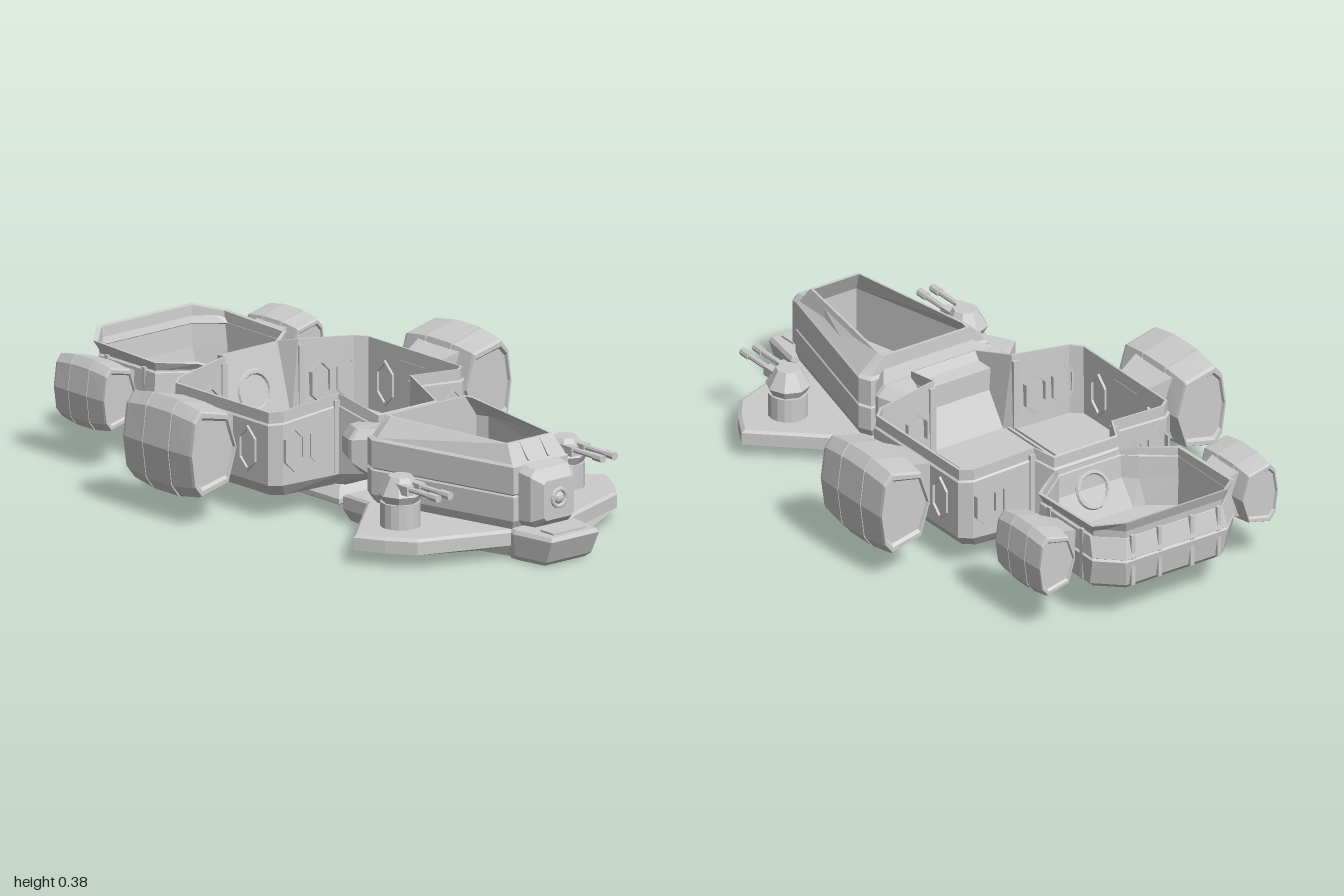
import * as THREE from 'three';

const mat = new THREE.MeshStandardMaterial({ color: 0xcccccc, flatShading: true, side: THREE.DoubleSide });

// Closed loft through equal-length 2D outlines; ring = [level, outline], level may be a function of (a, b)
function loft(rings, axis = 'y') {
  const map = { x: (a, b, h) => [h, b, a], y: (a, b, h) => [a, h, b], z: (a, b, h) => [a, b, h] }[axis];
  const n = rings[0][1].length, pos = [], idx = [];
  for (const [h, pts] of rings)
    for (const [a, b] of pts) pos.push(...map(a, b, typeof h === 'function' ? h(a, b) : h));
  for (let r = 0; r < rings.length - 1; r++)
    for (let i = 0; i < n; i++) {
      const a = r * n + i, b = r * n + (i + 1) % n;
      idx.push(a, b, b + n, a, b + n, a + n);
    }
  // caps, wound to agree with the side walls
  const cap = (r, last) => {
    const v = rings[r][1].map(p => new THREE.Vector2(...p));
    const ccw = THREE.ShapeUtils.area(v) > 0;
    for (const t of THREE.ShapeUtils.triangulateShape(v, [])) {
      const w = THREE.ShapeUtils.area(t.map(i => v[i])) > 0 === ccw ? t : [t[0], t[2], t[1]];
      const o = last ? w : [w[0], w[2], w[1]];
      idx.push(...o.map(i => i + r * n));
    }
  };
  cap(0, false);
  cap(rings.length - 1, true);
  // turn everything outward if the enclosed volume is negative
  let vol = 0;
  const P = i => new THREE.Vector3().fromArray(pos, i * 3);
  for (let i = 0; i < idx.length; i += 3) vol += P(idx[i]).dot(P(idx[i + 1]).cross(P(idx[i + 2])));
  if (vol < 0) idx.reverse();
  const g = new THREE.BufferGeometry();
  g.setAttribute('position', new THREE.Float32BufferAttribute(pos, 3));
  g.setIndex(idx);
  const flat = g.toNonIndexed();
  flat.computeVertexNormals();
  return flat;
}

const mirror = half => [...half, ...half.map(([x, z]) => [-x, z]).reverse()];
// Octagonal tunnel section
const tunnel = (w, y0, y1, c) => mirror([[w - c, y1], [w, y1 - c], [w, y0 + c], [w - c, y0]]);
// Move an outline inward by d on each axis
function inset(pts, d) {
  const zs = pts.map(p => p[1]), xs = pts.map(p => p[0]);
  const cz = (Math.max(...zs) + Math.min(...zs)) / 2, hz = Math.max(...zs) - cz, hx = Math.max(...xs);
  return pts.map(([x, z]) => [x * (1 - d / hx), cz + (z - cz) * (1 - d / hz)]);
}

export function createModel() {
  const root = new THREE.Group();
  const add = (name, geo, x = 0, y = 0, z = 0, parent = root) => {
    const m = new THREE.Mesh(geo, mat);
    m.name = name;
    m.position.set(x, y, z);
    parent.add(m);
    return m;
  };
  const box = (name, w, h, d, x, y, z, parent) => add(name, new THREE.BoxGeometry(w, h, d), x, y, z, parent);

  // Wing plate with a wedge keel, and the tapered nose tongue
  const wing = mirror([[0.1, 0.84], [0.4, 0.73], [0.46, 0.65], [0.51, 0.56], [0.24, 0.31], [0.24, 0.2]]);
  const keel = mirror([[0.08, 0.86], [0.13, 0.7], [0.15, 0.6], [0.18, 0.5], [0.22, 0.31], [0.21, 0.2]]);
  add('wingPlate', loft([[0.003, keel], [0.045, wing], [0.085, wing], [0.093, inset(wing, 0.012)]]));
  const tongue = mirror([[0.095, 1], [0.12, 0.85], [0.11, 0.82]]);
  const tongueLow = mirror([[0.08, 0.95], [0.1, 0.85], [0.1, 0.82]]);
  add('noseTongue', loft([[0, tongueLow], [0.015, mirror([[0.09, 0.97], [0.11, 0.85], [0.11, 0.82]])],
    [0.085, tongue], [0.097, inset(tongue, 0.008)]]));
  box('tongueHatch', 0.13, 0.01, 0.06, 0, 0.098, 0.945);

  // Front hull, open at the top, with sloped cockpit panes
  const front = mirror([[0.11, 0.84], [0.238, 0.33], [0.22, 0.29]]);
  const frontTop = mirror([[0.09, 0.79], [0.165, 0.335], [0.16, 0.305]]);
  add('frontHull', loft([
    [0.09, inset(front, 0.015)], [0.12, front], [0.195, front], [0.2, inset(front, 0.006)], [0.205, front],
    [0.29, front], [0.297, inset(front, 0.012)], [0.352, frontTop], [0.352, inset(frontTop, 0.01)],
    [0.285, inset(front, 0.026)], [0.12, inset(front, 0.026)],
  ]));
  add('noseBlock', loft([[0.82, tunnel(0.09, 0.1, 0.295, 0.02)], [0.89, tunnel(0.085, 0.105, 0.285, 0.02)],
    [0.925, tunnel(0.06, 0.13, 0.255, 0.01)]], 'z'));
  add('nosePort', new THREE.TorusGeometry(0.027, 0.007, 8, 16), 0, 0.195, 0.925);
  add('noseLens', new THREE.SphereGeometry(0.022, 12, 8), 0, 0.195, 0.915);
  for (const s of [-1, 1]) {
    const bar = box('cockpitPaneBar', 0.008, 0.065, 0.006, s * 0.04, 0.325, 0.81);
    bar.rotation.x = -0.7;
  }

  // Coupling between front and middle hulls
  add('frontCoupling', loft([[0.31, tunnel(0.19, 0.12, 0.31, 0.03)], [0.24, tunnel(0.24, 0.17, 0.3, 0.03)],
    [0.225, tunnel(0.24, 0.18, 0.3, 0.03)], [0.15, tunnel(0.2, 0.18, 0.29, 0.03)]], 'z'));

  // Middle hull: thin-walled cross-shaped tray whose corridor ends slope up to the necks
  const bays = [[0.36, 0.06], [0.395, 0.03], [0.395, -0.41], [0.36, -0.44]];
  const mid = mirror([[0.12, 0.23], [0.15, 0.075], ...bays, [0.15, -0.465], [0.12, -0.53]]);
  const midLow = mirror([[0.13, 0.1], [0.15, 0.07], ...bays, [0.15, -0.46], [0.13, -0.475]]);
  const rim = (x, z) => 0.365 - 0.11 * Math.max(0, Math.abs(x) - 0.15) - 0.3 * Math.max(0, Math.abs(z + 0.195) - 0.275);
  add('middleHull', loft([
    [0.07, inset(midLow, 0.03)], [(x, z) => (Math.abs(z + 0.15) > 0.35 ? 0.14 : 0.11), mid],
    [(x, z) => rim(x, z) - 0.04, mid], [(x, z) => rim(x, z) - 0.035, inset(mid, 0.006)],
    [rim, inset(mid, 0.006)], [rim, inset(mid, 0.014)], [0.112, inset(midLow, 0.014)],
  ]));
  const skid = mirror([[0.17, 0.1], [0.17, -0.49]]);
  add('bellySkid', loft([[0.018, inset(skid, 0.012)], [0.025, skid], [0.04, skid], [0.072, inset(skid, 0.03)]]));

  // Hexagonal wall frames, reaching through to both faces of the walls
  const hex = r => [0, 1, 2, 3, 4, 5].map(i =>
    new THREE.Vector2(r * 0.75 * Math.sin(i * Math.PI / 3), r * 1.25 * Math.cos(i * Math.PI / 3)));
  const hexShape = new THREE.Shape(hex(0.058));
  hexShape.holes.push(new THREE.Path(hex(0.049)));
  const hexGeo = new THREE.ExtrudeGeometry(hexShape, { depth: 0.03, bevelEnabled: false }).translate(0, 0, -0.015);
  for (const s of [-1, 1]) {
    for (const x of [0.22, 0.32])
      for (const z of [0.056, -0.444]) add('wallHexFrame', hexGeo, s * x, 0.22, z);
    for (const z of [-0.06, -0.32]) add('sideHexFrame', hexGeo, s * 0.388, 0.21, z).rotation.y = Math.PI / 2;
    for (const z of [0.066, -0.456]) box('wallPost', 0.022, 0.23, 0.022, s * 0.155, 0.23, z);
    for (const x of [0.135, 0.152]) box('floorTrack', 0.008, 0.01, 0.53, s * x, 0.114, -0.195);
  }
  add('doorRing', new THREE.TorusGeometry(0.06, 0.01, 6, 20), 0, 0.22, -0.488).rotation.x = -0.22;

  // Rear hull: thin-walled octagonal tray with a sloped front and a raised tail
  const rear = mirror([[0.12, -0.54], [0.16, -0.575], [0.26, -0.65], [0.26, -0.91], [0.18, -0.985]]);
  const rearWide = mirror([[0.12, -0.53], [0.16, -0.565], [0.265, -0.645], [0.265, -0.93], [0.19, -1]]);
  const rearFloor = mirror([[0.13, -0.59], [0.17, -0.6], [0.25, -0.655], [0.25, -0.9], [0.18, -0.96]]);
  const rearRim = (x, z) => 0.325 + Math.max(0, -0.9 - z) * 0.27 - Math.max(0, z + 0.58) * 0.4;
  add('rearHull', loft([
    [0.11, inset(rear, 0.02)], [0.13, rear], [0.215, rearWide], [0.22, inset(rearWide, 0.007)], [0.225, rearWide],
    [0.29, rear], [0.295, inset(rear, 0.008)], [rearRim, rearWide], [rearRim, inset(rearWide, 0.012)],
    [0.22, inset(rear, 0.008)], [0.13, rearFloor],
  ]));
  add('rearDoorRing', new THREE.TorusGeometry(0.055, 0.008, 6, 20), 0, 0.22, -0.562).rotation.x = 0.35;
  for (const s of [-1, 1]) {
    for (const z of [-0.7, -0.87]) box('rearSideRib', 0.01, 0.17, 0.014, s * 0.26, 0.215, z);
    for (const x of [0.06, 0.16]) box('rearEndRib', 0.014, 0.17, 0.01, s * x, 0.215, -0.992);
  }

  // Barrel pod: a hexagonal section along z with recessed caps and seams
  const podSection = [[0.055, 0.152], [0.083, 0.115], [0.098, 0], [0.083, -0.115], [0.055, -0.152],
    [-0.06, -0.122], [-0.095, 0], [-0.06, 0.122]];
  const podSteps = [[-0.15, 0.7], [-0.16, 0.76], [-0.16, 0.86], [-0.15, 0.9], [-0.064, 0.99], [-0.063, 0.96],
    [-0.056, 0.96], [-0.055, 1]];
  const podRings = [...podSteps, ...podSteps.map(([h, s]) => [-h, s]).reverse()]
    .map(([h, s]) => [h, podSection.map(([x, y]) => [x * (0.5 + s / 2), y * s])]);
  const podGeo = loft(podRings, 'z');
  const strutGeo = loft([[-0.17, [[-0.06, -0.065], [0.06, -0.065], [0.06, 0.065], [-0.06, 0.065]]],
    [-0.05, [[-0.1, -0.11], [0.1, -0.11], [0.1, 0.11], [-0.1, 0.11]]]], 'x');
  function pod(name, s, x, y, z, k) {
    const side = new THREE.Group(), g = new THREE.Group();
    side.name = name + 'Side';
    side.scale.x = s;
    g.name = name;
    add('podBarrel', podGeo, 0, 0, 0, g);
    add('podStrut', strutGeo, 0, 0, 0, g);
    g.position.set(x, y, z);
    g.scale.setScalar(k);
    side.add(g);
    root.add(side);
  }

  // Twin-barrel turret on a drum
  function turret(x) {
    const g = new THREE.Group();
    g.name = 'turret';
    g.position.set(x, 0.09, 0.57);
    add('turretDrum', new THREE.CylinderGeometry(0.062, 0.062, 0.08, 16), 0, 0.04, 0, g);
    add('turretCollar', new THREE.CylinderGeometry(0.07, 0.056, 0.025, 8), 0, 0.0925, 0, g);
    add('turretHead', new THREE.CylinderGeometry(0.038, 0.07, 0.055, 8), 0, 0.1325, 0, g);
    for (const s of [-1, 1]) {
      box('gunHousing', 0.028, 0.03, 0.06, s * 0.024, 0.13, 0.045, g);
      add('gunBarrel', new THREE.CylinderGeometry(0.009, 0.009, 0.14, 8), s * 0.024, 0.135, 0.125, g).rotation.x = Math.PI / 2;
      add('muzzle', new THREE.CylinderGeometry(0.013, 0.013, 0.04, 8), s * 0.024, 0.135, 0.185, g).rotation.x = Math.PI / 2;
    }
    root.add(g);
  }

  for (const s of [-1, 1]) {
    pod('middlePod', s, 0.55, 0.232, -0.197, 1);
    pod('rearPod', s, 0.377, 0.23, -0.79, 0.73);
    turret(s * 0.33);
  }
  return root;
}
